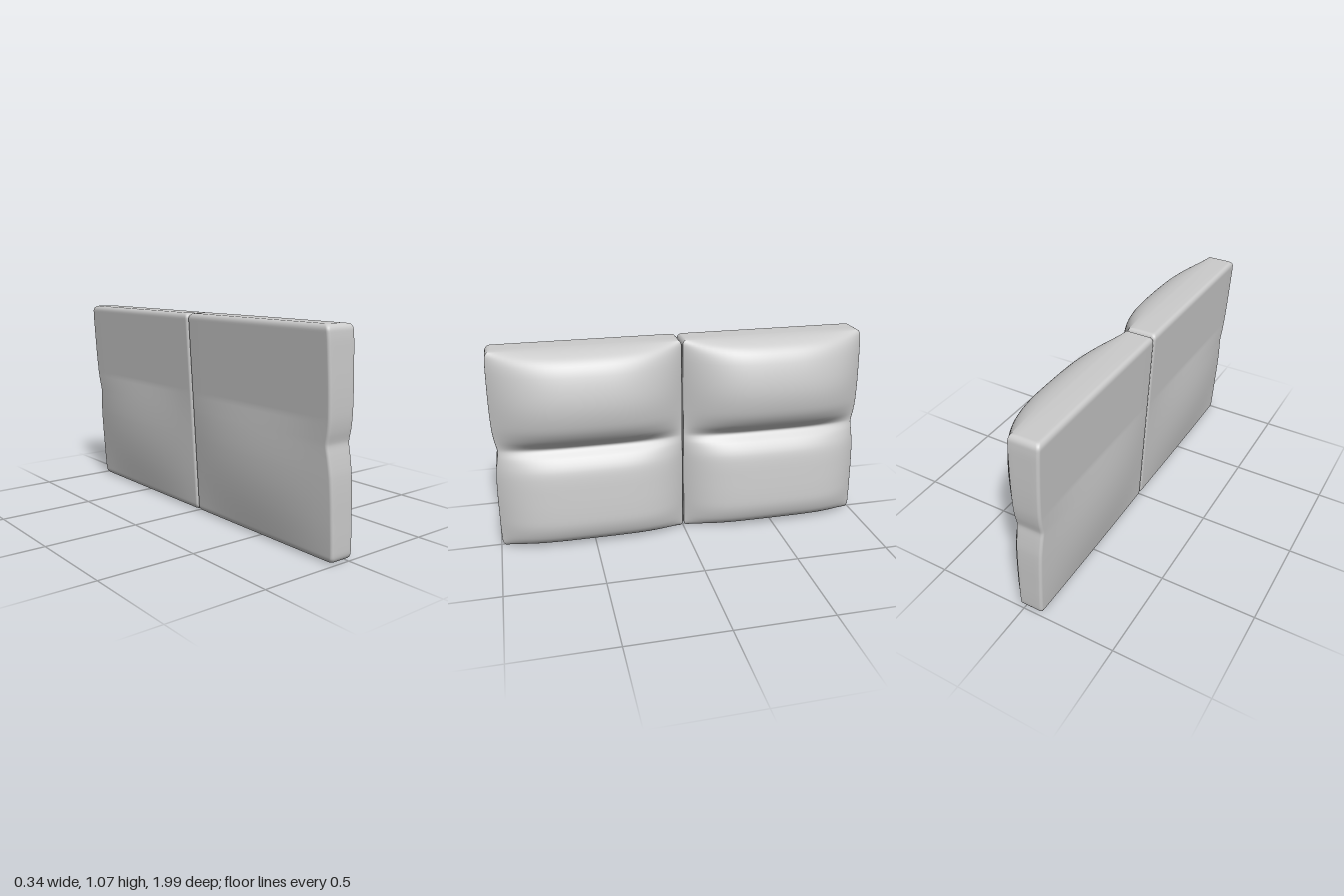
import * as THREE from 'three';

const HEIGHT = 1.067;
const ROUND = 0.03;

// Central profile of a cushion: [height, front x, pinch of the outer side]
const PROFILE = [
  [0, 0, 0.012], [0.006, 0.035, 0.01], [0.018, 0.075, 0.008], [0.04, 0.105, 0.005],
  [0.07, 0.126, 0.004], [0.13, 0.143, 0.003], [0.2, 0.143, 0.003], [0.3, 0.136, 0.003],
  [0.4, 0.126, 0.006], [0.45, 0.113, 0.011], [0.5, 0.083, 0.018], [0.53, 0.054, 0.023],
  [0.545, 0.046, 0.024], [0.56, 0.056, 0.022], [0.6, 0.105, 0.013], [0.65, 0.14, 0.006],
  [0.7, 0.158, 0.003], [0.78, 0.169, 0.001], [0.86, 0.163, 0.001], [0.95, 0.14, 0.002],
  [1.0, 0.115, 0.003], [1.03, 0.085, 0.005], [1.05, 0.045, 0.007], [1.061, 0.005, 0.009],
  [HEIGHT, -0.04, 0.01],
];

// Horizontal outline of the cushion at one height, as [x, z] points
function outline(y, front, pinch, side) {
  const d = Math.min(ROUND, y, HEIGHT - y);
  const corner = ROUND - Math.sqrt(ROUND ** 2 - (ROUND - d) ** 2);
  const outer = 0.998 - pinch - corner * 0.8;
  const inner = 0.003 + corner * 0.8;
  const mid = side * (outer + inner) / 2;
  const half = (outer - inner) / 2;
  const edge = Math.min(0.02 - 0.03 * y, front) - corner * 0.3;
  const power = 4 - THREE.MathUtils.smoothstep(y, 0.5, 0.6);
  const back = -0.1 - 0.068 * (y / HEIGHT) + corner * 0.8;
  const sag = 0.027 * Math.sin(Math.PI * Math.min(1, y / 0.65));
  const r = 0.015;
  const pts = [];
  // padded front
  const n = 36;
  for (let i = 0; i <= n; i++) {
    const t = Math.sin((i / n - 0.5) * Math.PI);
    pts.push([edge + (front - edge) * (1 - Math.abs(t) ** power), mid + half * t]);
  }
  // flat side, rounded back corner
  const flank = [];
  for (let i = 1; i <= 5; i++) {
    flank.push([THREE.MathUtils.lerp(edge, back + r, i / 5), half]);
  }
  for (let i = 1; i <= 4; i++) {
    const a = i / 4 * Math.PI / 2;
    flank.push([back + r - r * Math.sin(a), half - r + r * Math.cos(a)]);
  }
  flank.forEach(([x, z]) => pts.push([x, mid + z]));
  // nearly flat back
  const m = 12;
  for (let i = 1; i < m; i++) {
    const t = 1 - 2 * i / m;
    pts.push([back - sag * (1 - t * t), mid + (half - r) * t]);
  }
  flank.reverse().forEach(([x, z]) => pts.push([x, mid - z]));
  return pts;
}

// Stack the outlines into a closed skin
function cushionGeometry(side) {
  const curve = new THREE.CatmullRomCurve3(
    PROFILE.map(([y, x, pinch]) => new THREE.Vector3(x, y, pinch)));
  const rows = (PROFILE.length - 1) * 3;
  const position = [];
  const index = [];
  let count = 0;
  for (let j = 0; j <= rows; j++) {
    const p = curve.getPoint(j / rows);
    const y = THREE.MathUtils.clamp(p.y, 0, HEIGHT);
    const ring = outline(y, p.x, p.z, side);
    count = ring.length;
    ring.forEach(([x, z]) => position.push(x, y, z));
  }
  for (let j = 0; j < rows; j++) {
    for (let i = 0; i < count; i++) {
      const a = j * count + i;
      const b = j * count + (i + 1) % count;
      index.push(a, a + count, b, b, a + count, b + count);
    }
  }
  // bottom and top
  const bottom = position.length / 3;
  position.push(-0.05, 0, side * 0.5, -0.1, HEIGHT, side * 0.5);
  for (let i = 0; i < count; i++) {
    const k = (i + 1) % count;
    index.push(bottom, i, k);
    index.push(bottom + 1, rows * count + k, rows * count + i);
  }
  const geometry = new THREE.BufferGeometry();
  geometry.setAttribute('position', new THREE.Float32BufferAttribute(position, 3));
  geometry.setIndex(index);
  geometry.computeVertexNormals();
  return geometry;
}

export function createModel() {
  const group = new THREE.Group();
  group.name = 'backCushions';
  const material = new THREE.MeshStandardMaterial({ color: 0xcccccc });
  // one cushion on each side of the seam
  for (const [side, name] of [[1, 'frontCushion'], [-1, 'rearCushion']]) {
    const cushion = new THREE.Mesh(cushionGeometry(side), material);
    cushion.name = name;
    group.add(cushion);
  }
  return group;
}
